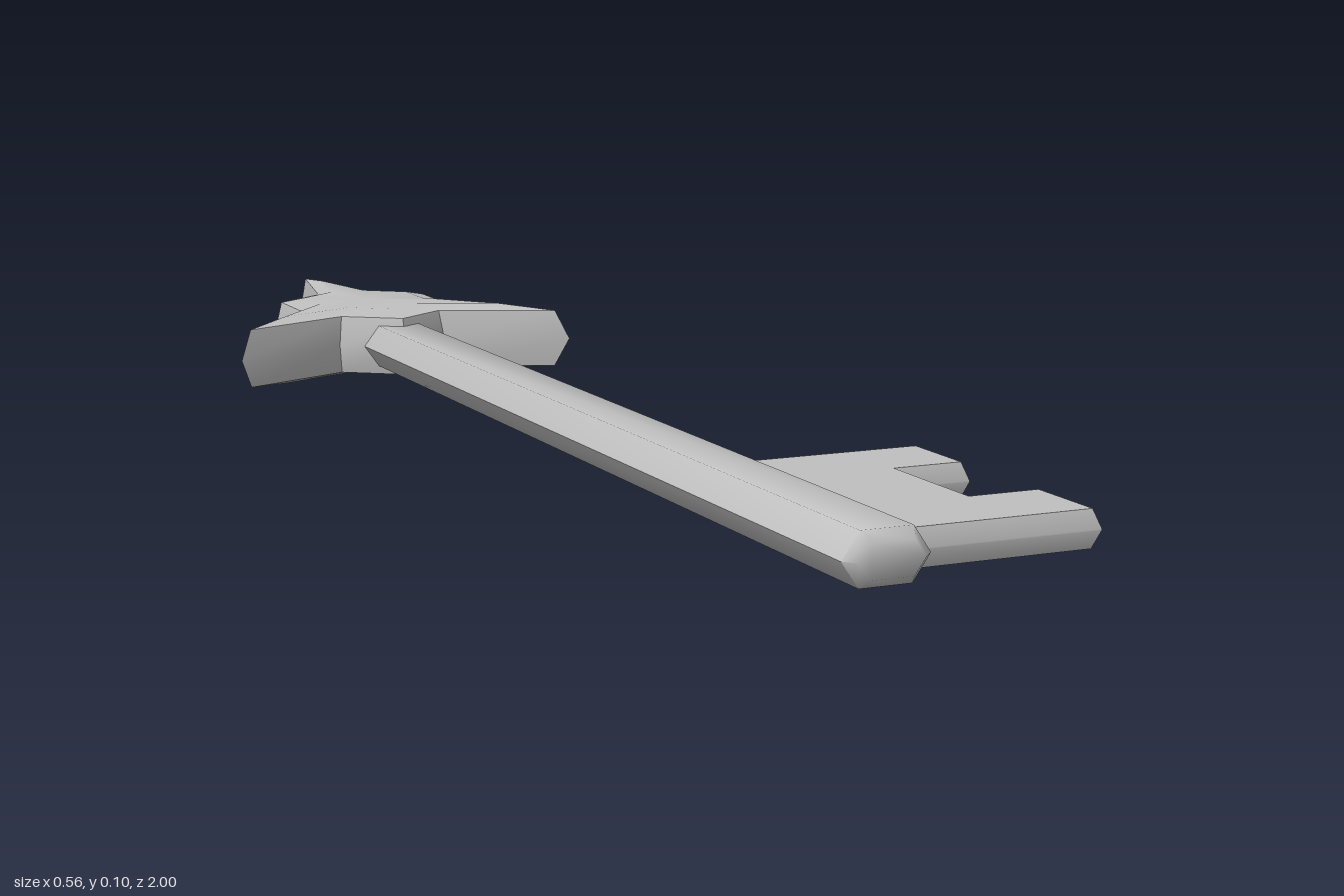
import * as THREE from 'three';
import { toCreasedNormals } from 'three/addons/utils/BufferGeometryUtils.js';

const AXIS_X = -0.006; // the shaft and head sit slightly off the centre
const MID_Y = 0.0525;

// Outline with one-step bevels that meet in a ridge halfway through the depth
function bevelled(points, depth, bevel, inset) {
  const shape = new THREE.Shape(points.map(([x, y]) => new THREE.Vector2(x, y)));
  const core = depth - 2 * bevel;
  const geo = new THREE.ExtrudeGeometry(shape, {
    depth: core, bevelEnabled: true, bevelSegments: 1,
    bevelThickness: bevel, bevelSize: inset, bevelOffset: -inset,
  });
  return geo.translate(0, 0, -core / 2);
}

// Stack of scaled copies of one outline; rings are [scale, y] from bottom to top
function stacked(outline, cx, cz, rings) {
  const pos = [];
  const n = outline.length;
  const at = ([s, y], i) => {
    const [x, z] = outline[i % n];
    return [cx + (x - cx) * s, y, cz + (z - cz) * s];
  };
  for (let r = 0; r < rings.length - 1; r++) {
    const lo = rings[r], hi = rings[r + 1];
    for (let i = 0; i < n; i++) {
      const a = at(lo, i), b = at(lo, i + 1), c = at(hi, i), d = at(hi, i + 1);
      if (lo[0] > 0) pos.push(...b, ...a, ...c);
      if (hi[0] > 0) pos.push(...b, ...c, ...d);
    }
  }
  const geo = new THREE.BufferGeometry();
  geo.setAttribute('position', new THREE.Float32BufferAttribute(pos, 3));
  geo.computeVertexNormals();
  return geo;
}

export function createModel() {
  const key = new THREE.Group();
  key.name = 'key';
  const metal = new THREE.MeshStandardMaterial({ color: 0xc0c0c0 });
  metal.name = 'grey metal';
  const add = (name, geo, crease) => {
    const mesh = new THREE.Mesh(toCreasedNormals(geo, crease), metal);
    mesh.name = name;
    key.add(mesh);
  };

  // Six-sided shaft with chamfered ends
  const hex = [[0.055, 0], [0.033, 0.032], [-0.033, 0.032],
    [-0.055, 0], [-0.033, -0.032], [0.033, -0.032]];
  add('shaft', bevelled(hex, 1.53, 0.015, 0.012).translate(AXIS_X, MID_Y, 0.235), 1.05);

  // Notched bit, lying flat, with a ridge round its edge
  const bit = [[0.0, 0.58], [0.278, 0.58], [0.278, 0.7], [0.185, 0.7],
    [0.185, 0.848], [0.278, 0.848], [0.278, 0.97], [0.0, 0.97]];
  add('bit', bevelled(bit, 0.046, 0.0225, 0.008).rotateX(Math.PI / 2).translate(0, MID_Y, 0), 0.6);

  // Star-shaped head: half outline mirrored about the shaft axis
  const half = [[0.042, -0.8], [0.132, -0.733], [0.132, -0.62], [0.272, -0.46], [0.088, -0.538]];
  const right = half.map(([x, z]) => [AXIS_X + x, z]);
  const left = half.map(([x, z]) => [AXIS_X - x, z]).reverse();
  const star = [[AXIS_X, -1], ...right, [AXIS_X, -0.477], ...left];
  const rings = [[0, 0], [0.66, 0], [0.93, 0.008], [1, MID_Y],
    [0.93, 0.097], [0.66, 0.105], [0, 0.105]];
  add('head', stacked(star, AXIS_X, -0.67, rings), 0.7);

  return key;
}
